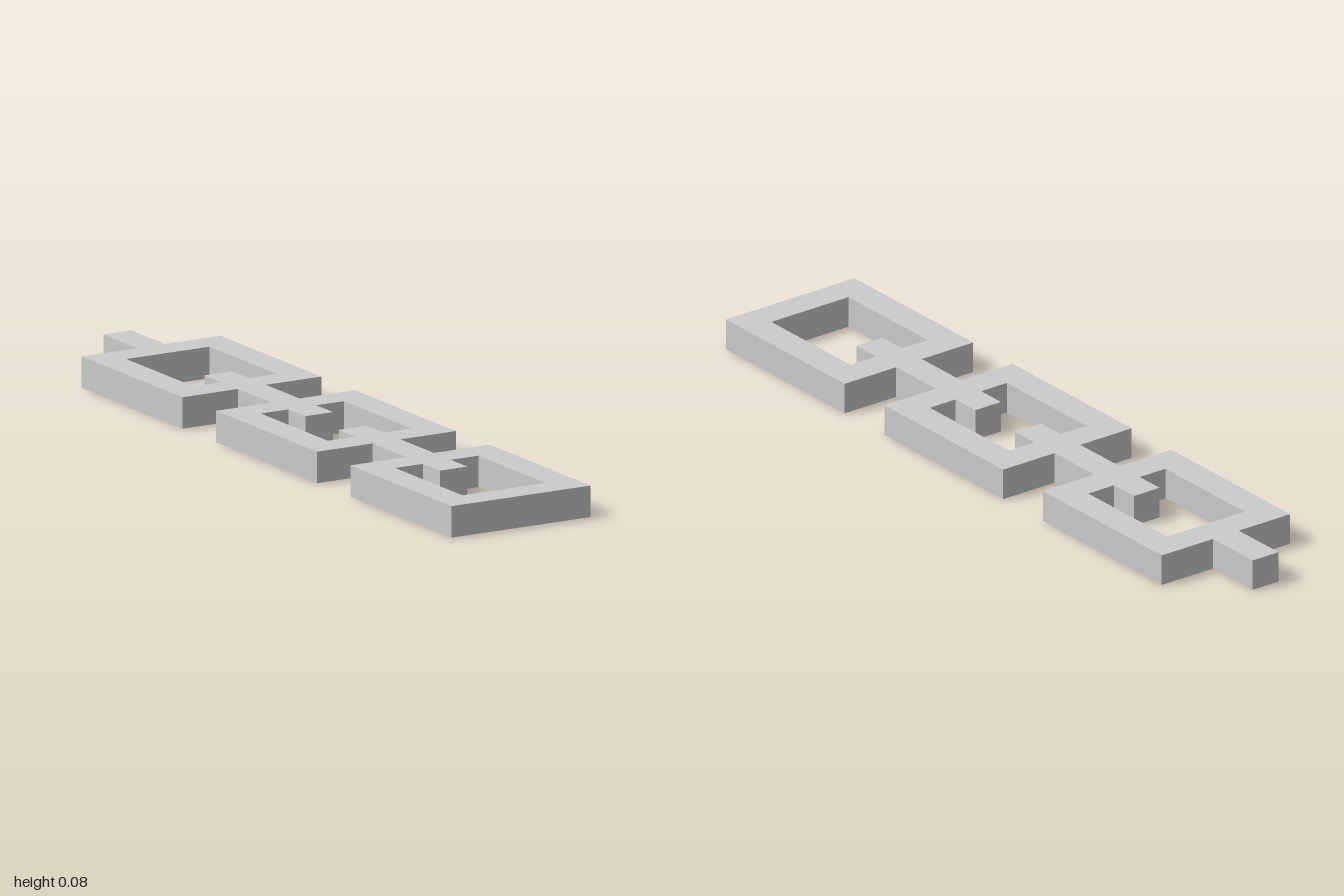
import * as THREE from 'three';

const U = 1 / 12; // module: bar width and thickness
const LINK = 6, PITCH = 8, COUNT = 3, HALF = 2.5;

// right-hand edge in modules (x, z), plus its mirror image, as a counter-clockwise loop
function mirrored(right) {
  const left = right.map(([x, z]) => [-x, z]);
  return [...left, ...right.slice().reverse()].map(([x, z]) => new THREE.Vector2(x * U, -z * U));
}

// rectangular window, optionally notched by the connector tips
function windowLoop(start, backTip, frontTip) {
  const a = start + 1, b = start + LINK - 1, w = HALF - 1;
  const right = [];
  if (backTip) right.push([0.5, a + 1], [0.5, a]);
  right.push([w, a], [w, b]);
  if (frontTip) right.push([0.5, b], [0.5, b - 1]);
  return new THREE.Path(mirrored(right));
}

export function createModel() {
  const group = new THREE.Group();
  group.name = 'linkChain';
  const material = new THREE.MeshStandardMaterial({ color: 0xcccccc, flatShading: true });

  // outer outline: necks alternate with wide links, starting at the back neck
  const edge = [[0.5, -12]];
  const windows = [];
  for (let i = 0; i < COUNT; i++) {
    const start = -10 + i * PITCH;
    const last = i === COUNT - 1;
    edge.push([0.5, start], [HALF, start], [HALF, start + LINK]);
    if (!last) edge.push([0.5, start + LINK]);
    windows.push(windowLoop(start, i > 0, !last));
  }
  const plan = new THREE.Shape(mirrored(edge));
  plan.holes.push(...windows);

  // one solid plate, laid flat on the ground
  const geometry = new THREE.ExtrudeGeometry(plan, { depth: U, bevelEnabled: false });
  geometry.rotateX(-Math.PI / 2);
  const links = new THREE.Mesh(geometry, material);
  links.name = 'joinedLinks';
  group.add(links);
  return group;
}
